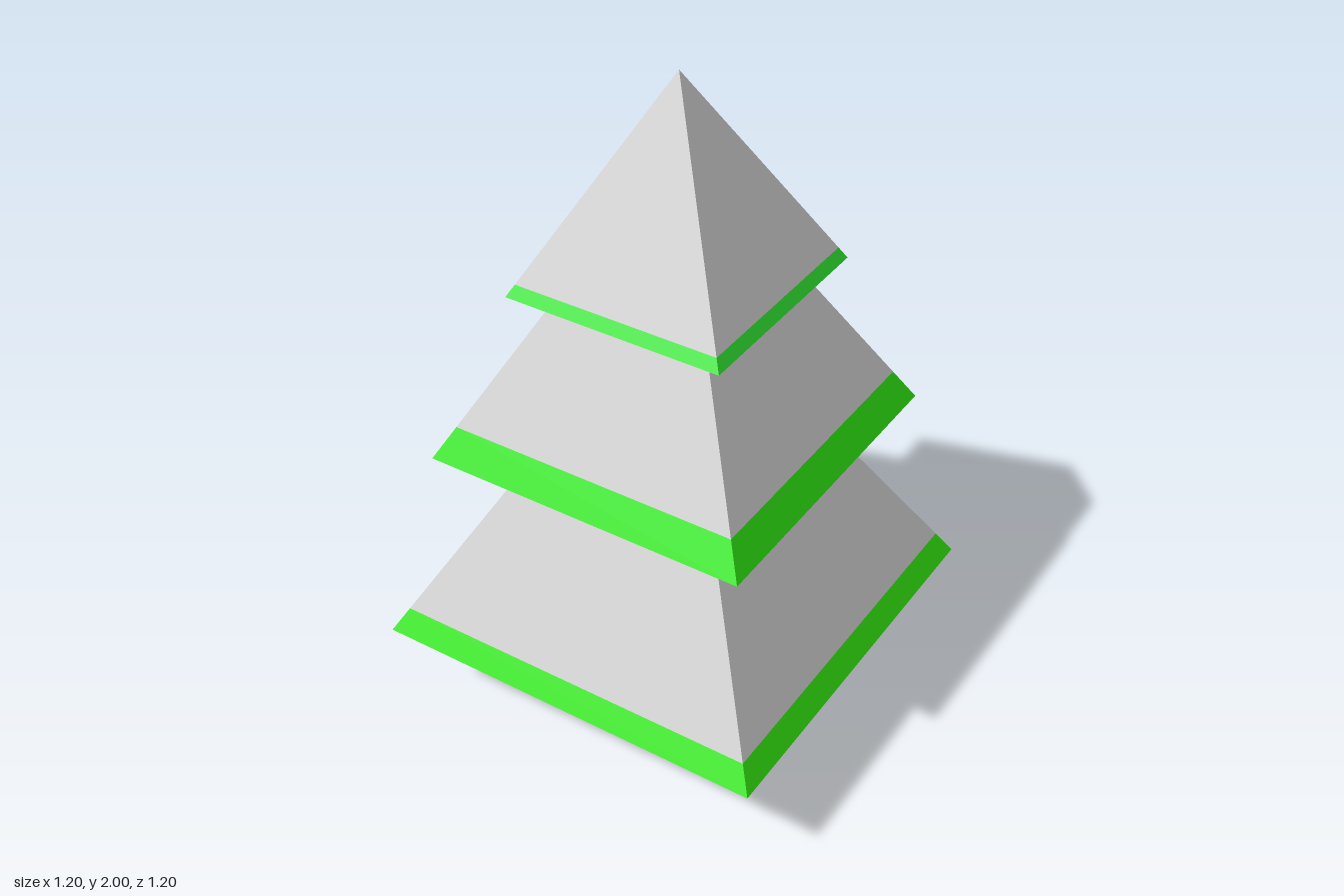
import * as THREE from 'three';

// Four-sided solid from a [halfWidth, y] profile running bottom to top
function squareLathe(name, profile, color) {
  const points = profile.map(([half, y]) => new THREE.Vector2(half * Math.SQRT2, y));
  const geometry = new THREE.LatheGeometry(points, 4).rotateY(Math.PI / 4).toNonIndexed();
  geometry.computeVertexNormals();
  const mesh = new THREE.Mesh(geometry, new THREE.MeshStandardMaterial({ color, flatShading: true }));
  mesh.name = name;
  return mesh;
}

// Pyramid of foliage with a green rim and underside
function createTier({ name, base, half, apex, rim, color }) {
  const tier = new THREE.Group();
  tier.name = name;
  const rimHalf = half * (apex - base - rim) / (apex - base);
  tier.add(
    squareLathe(name + 'Rim', [[0, base], [half, base], [rimHalf, base + rim]], color),
    squareLathe(name + 'Slopes', [[rimHalf, base + rim], [0, apex]], 0xcccccc)
  );
  return tier;
}

export function createModel() {
  const tree = new THREE.Group();
  tree.name = 'tree';

  // Trunk
  const trunk = new THREE.Mesh(
    new THREE.BoxGeometry(0.22, 0.305, 0.22).translate(0, 0.1525, 0),
    new THREE.MeshStandardMaterial({ color: 0xd0714c, flatShading: true })
  );
  trunk.name = 'trunk';
  tree.add(trunk);

  // Three stacked foliage tiers
  const tiers = [
    { name: 'lowerTier', base: 0.305, half: 0.6, apex: 1.39, rim: 0.072, color: 0x32e60f },
    { name: 'middleTier', base: 0.905, half: 0.487, apex: 1.81, rim: 0.095, color: 0x2de611 },
    { name: 'upperTier', base: 1.397, half: 0.327, apex: 2, rim: 0.035, color: 0x30e530 }
  ];
  for (const tier of tiers) tree.add(createTier(tier));

  return tree;
}
